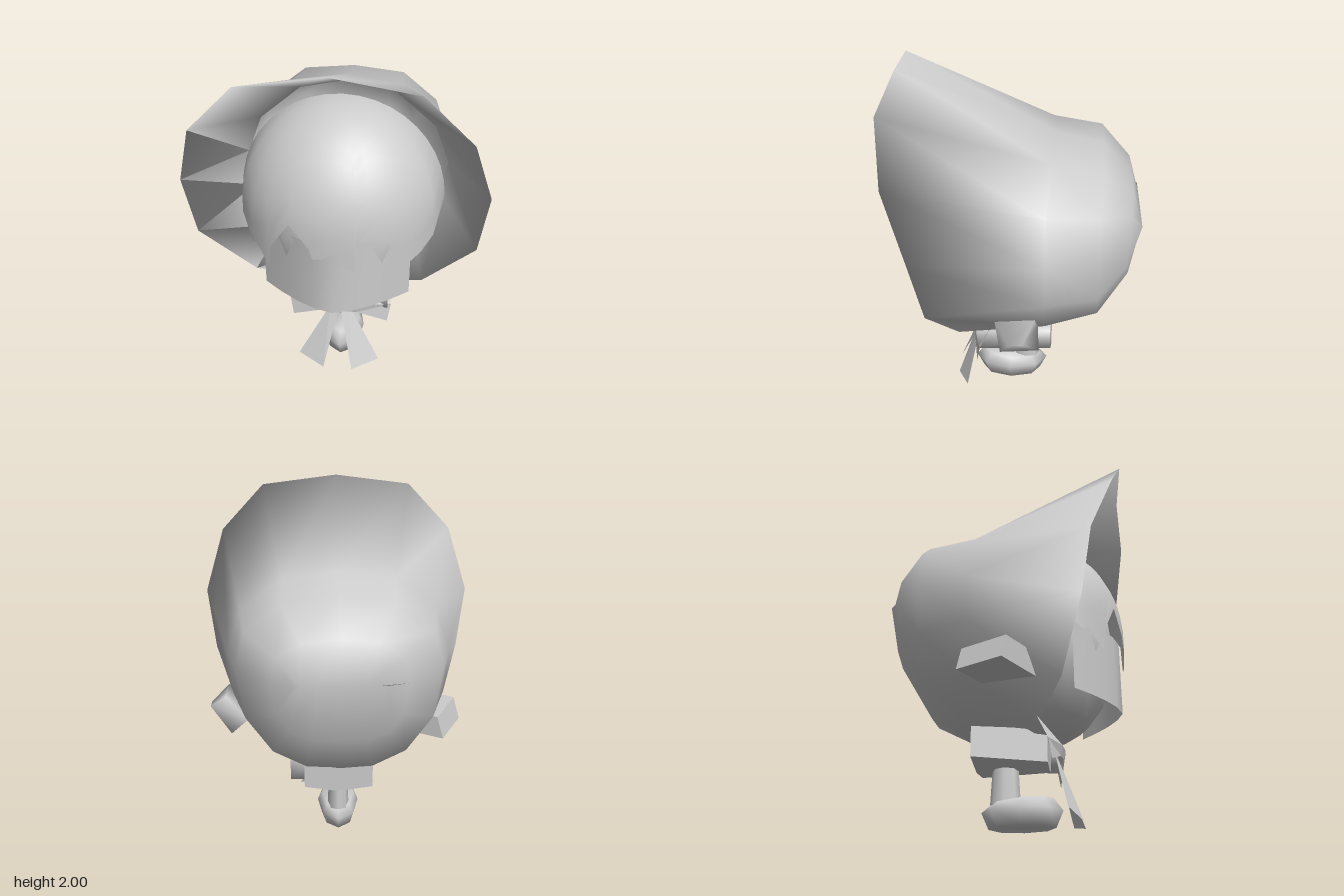
import * as THREE from 'three';
import { mergeVertices } from 'three/addons/utils/BufferGeometryUtils.js';

const mat = new THREE.MeshStandardMaterial({ color: 0xcccccc, side: THREE.DoubleSide });
const flatMat = new THREE.MeshStandardMaterial({ color: 0xcccccc, side: THREE.DoubleSide, flatShading: true });

// Surface through rows of [x, y, z] points
function loft(rows, closed) {
  const n = rows[0].length, index = [];
  for (let r = 0; r < rows.length - 1; r++) {
    for (let c = 0; c < (closed ? n : n - 1); c++) {
      const a = r * n + c, b = r * n + (c + 1) % n;
      index.push(a, a + n, b, b, a + n, b + n);
    }
  }
  const g = new THREE.BufferGeometry();
  g.setAttribute('position', new THREE.Float32BufferAttribute(rows.flat(2), 3));
  g.setIndex(index);
  g.computeVertexNormals();
  return g;
}

// Weld the corners so shading runs smoothly over the edges
function weld(g) {
  g.deleteAttribute('normal');
  g.deleteAttribute('uv');
  const m = mergeVertices(g, 1e-4);
  m.computeVertexNormals();
  return m;
}

// Move each vertex by a rule
function reshape(g, rule) {
  const p = g.attributes.position, v = new THREE.Vector3();
  for (let i = 0; i < p.count; i++) {
    rule(v.fromBufferAttribute(p, i));
    p.setXYZ(i, v.x, v.y, v.z);
  }
  g.computeVertexNormals();
  return g;
}

// Front half of an egg-shaped dome of hair ending in a jagged fringe
function hairGeometry() {
  const rx = .57, ry = .6, rz = .54, cy = 1.08, cz = .1, N = 10;
  const fringe = [
    [-.57, 1.08], [-.53, 1.03], [-.45, .93], [-.43, .95], [-.345, .85], [-.33, .98], [-.22, 1.16], [-.11, 1.04],
    [-.09, .98], [-.04, .99], [0, 1.02], [.06, 1], [.08, .93], [.125, .92], [.135, 1.08], [.22, 1.18],
    [.31, 1.04], [.35, 1.03], [.4, .9], [.46, .93], [.52, .98], [.57, 1.1],
  ];
  const rows = [], normals = [];
  for (let r = 0; r <= N; r++) {
    rows.push(fringe.map(([fx, bottom]) => {
      const up = 1 - (cy + ry - bottom) / ry * (1 - Math.cos(r / N * Math.PI / 2));
      const s = up > 0 ? Math.sqrt(1 - up * up) : 1;
      const a = Math.asin(fx / rx);
      const x = rx * s * Math.sin(a), z = rz * s * Math.cos(a);
      normals.push(...new THREE.Vector3(x / rx ** 2, Math.max(up, 0) / ry, z / rz ** 2).normalize());
      return [x, cy + ry * up, z + cz];
    }));
  }
  const g = loft(rows, false);
  g.setAttribute('normal', new THREE.Float32BufferAttribute(normals, 3));
  return g;
}

export function createModel() {
  const model = new THREE.Group();
  const add = (name, geometry, material = mat) => {
    const mesh = new THREE.Mesh(geometry, material);
    mesh.name = name;
    model.add(mesh);
    return mesh;
  };

  // Bonnet: half rings from the lining over the flared rim to the back, mirrored across x
  const halfRings = [
    [[0, 1.65, -.16], [.27, 1.6, -.14], [.5, 1.41, -.12], [.58, 1.19, -.12], [.56, .96, -.12], [.4, .7, -.1], [.18, .54, -.08], [0, .52, -.05]],
    [[0, 2, .65], [.44, 1.94, .67], [.69, 1.68, .62], [.795, 1.33, .5], [.75, .98, .44], [.47, .66, .31], [.2, .52, .16], [0, .49, .1]],
    [[0, 1.67, -.2], [.3, 1.63, -.18], [.53, 1.45, -.16], [.61, 1.2, -.16], [.59, .95, -.16], [.43, .69, -.16], [.2, .53, -.22], [0, .51, -.26]],
    [[0, 1.62, -.45], [.29, 1.59, -.45], [.49, 1.43, -.44], [.54, 1.22, -.44], [.5, .94, -.44], [.36, .74, -.45], [.18, .65, -.46], [0, .64, -.46]],
    [[0, 1.46, -.61], [.2, 1.44, -.61], [.32, 1.36, -.6], [.35, 1.22, -.6], [.33, 1.05, -.6], [.26, .95, -.61], [.14, .9, -.61], [0, .9, -.61]],
    [[0, 1.24, -.67], [.12, 1.24, -.67], [.2, 1.24, -.67], [.24, 1.24, -.67], [.24, 1.24, -.67], [.2, 1.24, -.67], [.12, 1.24, -.67], [0, 1.24, -.67]],
  ];
  const rings = halfRings.map(h => [...h, ...h.slice(1, -1).reverse().map(([x, y, z]) => [-x, y, z])].reverse());
  add('bonnet', weld(loft(rings, true)));

  add('hair', hairGeometry());

  // Head with the chin showing under the face panel
  const head = add('head', new THREE.SphereGeometry(1, 14, 10));
  head.scale.set(.43, .54, .39);
  head.position.set(0, 1.0, .19);

  // Curved face panel
  const panel = [1.04, .62].map(y => {
    const row = [];
    for (let i = -4; i <= 4; i++) {
      row.push([i * .101, y, .61 - .24 * Math.pow(Math.abs(i) / 4, 1.5)]);
    }
    return row;
  });
  add('facePanel', loft(panel, false));

  // Body, wider at the back, and the sleeve on the model's left
  const bodyGeo = reshape(new THREE.BoxGeometry(.2, .2, .4, 2, 1, 1), v => {
    if (v.z < 0) v.x *= 2;
    if (v.y < 0) v.y += Math.abs(v.x) * .15;
  });
  add('body', bodyGeo, flatMat).position.set(0, .415, 0);
  const sleeve = add('sleeve', weld(new THREE.BoxGeometry(.16, .13, .43)));
  sleeve.position.set(.2, .455, .02);
  sleeve.rotation.x = .05;

  // Left hand: tilted soft block, pinched at its outer edge
  const handGeo = reshape(new THREE.BoxGeometry(.19, .13, .21), v => {
    if (v.x > 0 && v.y < 0) v.z *= .35;
  });
  const hand = add('leftHand', weld(handGeo));
  hand.position.set(.63, .78, -.02);
  hand.rotation.set(.1, 0, .86);

  // Right cuff: slanted block turned slightly back
  const cuffGeo = reshape(new THREE.BoxGeometry(.3, .13, .28), v => {
    if (v.x < 0 && v.y > 0) v.x += .04;
  });
  const cuff = add('rightCuff', cuffGeo, flatMat);
  cuff.position.set(-.53, .735, -.015);
  cuff.rotation.y = -.48;

  // Single leg and shoe
  const leg = add('leg', new THREE.CylinderGeometry(.055, .065, .22, 8));
  leg.position.set(0, .22, -.04);
  leg.scale.z = 1.3;
  const shoeProfile = [[0, 0], [.82, 0], [1, .09], [.78, .145], [0, .15]].map(([r, y]) => new THREE.Vector2(r, y));
  const shoeGeo = reshape(new THREE.LatheGeometry(shoeProfile, 8).scale(.125, 1, .22), v => {
    if (v.y > .1) v.y += .08 * v.z;
  });
  add('shoe', weld(shoeGeo)).position.set(0, 0, .05);

  // Bow wings and hanging ribbon tails, mirrored
  for (const s of [-1, 1]) {
    const side = s < 0 ? 'right' : 'left';
    add(side + 'BowWing', loft([
      [[0, .46, .27], [s * .1, .47, .24], [s * .28, .53, .16]],
      [[0, .42, .29], [s * .1, .42, .28], [s * .3, .4, .22]],
      [[0, .37, .28], [s * .1, .36, .27], [s * .28, .29, .24]],
    ], false), flatMat);
    add(side + 'RibbonTail', loft([
      [[s * .005, .37, .25], [s * .06, .37, .24]],
      [[s * .085, .01, .38], [s * .24, .05, .31]],
    ], false), flatMat);
  }
  return model;
}
